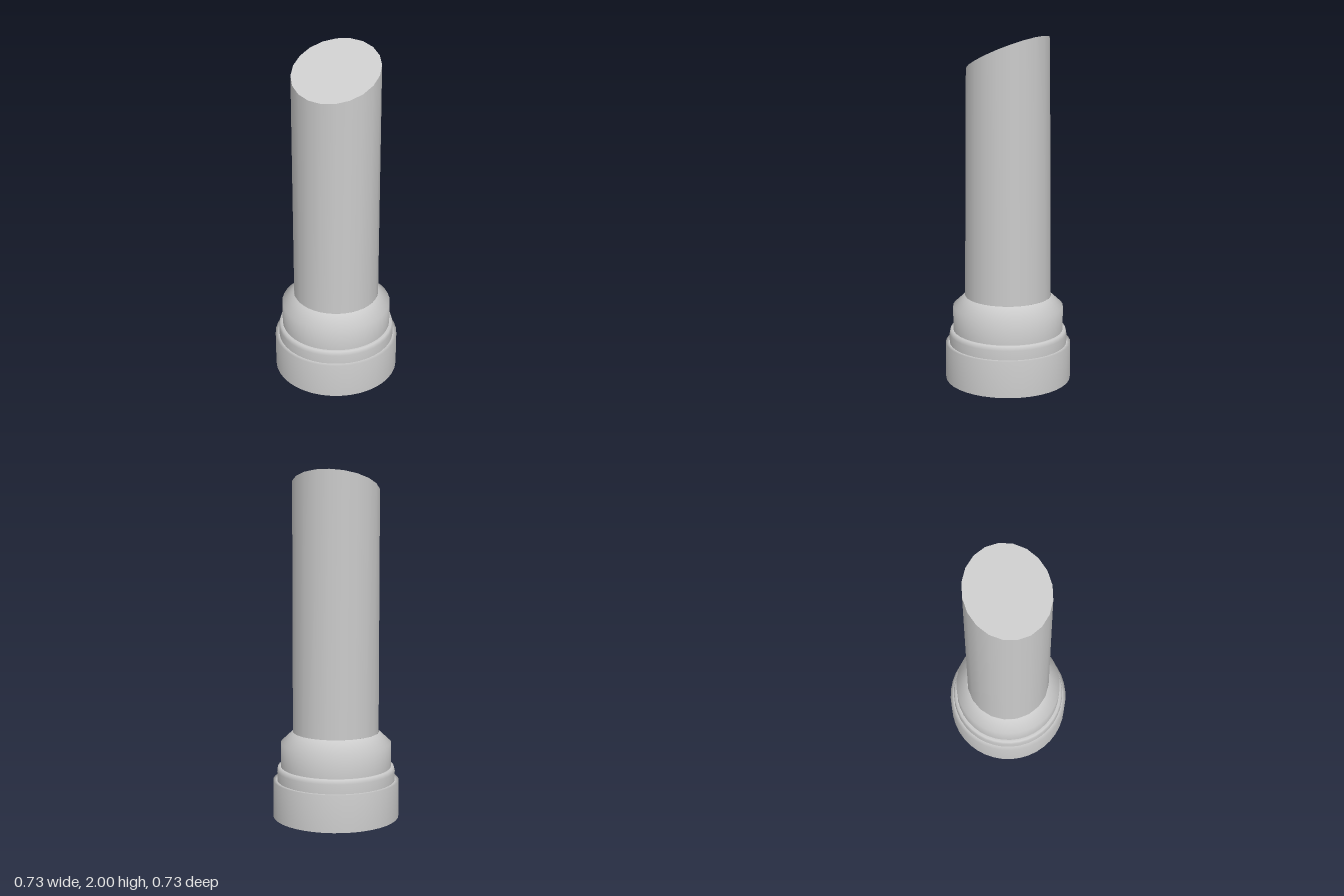
import * as THREE from 'three';

const RADIUS = 0.25;
const SHAFT_SIDES = 20;
const BASE_SIDES = 40;
const SHAFT_BOTTOM = 0.5;

// Places a flat ring or disc on the slanted break at the top of the shaft
const breakMatrix = new THREE.Matrix4()
  .makeTranslation(0, 1.897, 0)
  .multiply(new THREE.Matrix4().makeRotationZ(0.155))
  .multiply(new THREE.Matrix4().makeRotationX(0.4));

export function createModel() {
  const model = new THREE.Group();
  model.name = 'brokenColumn';
  const material = new THREE.MeshStandardMaterial({ color: 0xcccccc, side: THREE.DoubleSide });

  function add(name, geometry) {
    const mesh = new THREE.Mesh(geometry, material);
    mesh.name = name;
    model.add(mesh);
  }

  function turned(name, profile) {
    const points = profile.map(([r, y]) => new THREE.Vector2(r, y));
    add(name, new THREE.LatheGeometry(points, BASE_SIDES));
  }

  // Stepped pedestal, each tier smooth and meeting the next in a crease
  add('underside', new THREE.CircleGeometry(0.365, BASE_SIDES).rotateX(Math.PI / 2));
  turned('baseDrum', [[0.365, 0], [0.365, 0.215], [0.342, 0.215]]);
  turned('middleBand', [[0.342, 0.215], [0.342, 0.27], [0.336, 0.295], [0.32, 0.295]]);
  turned('collar', [[0.32, 0.295], [0.32, 0.435], [RADIUS, SHAFT_BOTTOM]]);

  // Shaft: the upper ring is tilted onto the break
  const shaft = new THREE.CylinderGeometry(RADIUS, RADIUS, 1, SHAFT_SIDES, 1, true);
  const position = shaft.attributes.position;
  const v = new THREE.Vector3();
  for (let i = 0; i < position.count; i++) {
    v.fromBufferAttribute(position, i);
    const isTop = v.y > 0;
    v.y = isTop ? 0 : SHAFT_BOTTOM;
    if (isTop) v.applyMatrix4(breakMatrix);
    position.setXYZ(i, v.x, v.y, v.z);
  }
  add('shaft', shaft);

  // Slanted face closing the shaft
  const face = new THREE.CircleGeometry(RADIUS, SHAFT_SIDES).rotateX(-Math.PI / 2);
  add('brokenFace', face.applyMatrix4(breakMatrix));

  return model;
}
